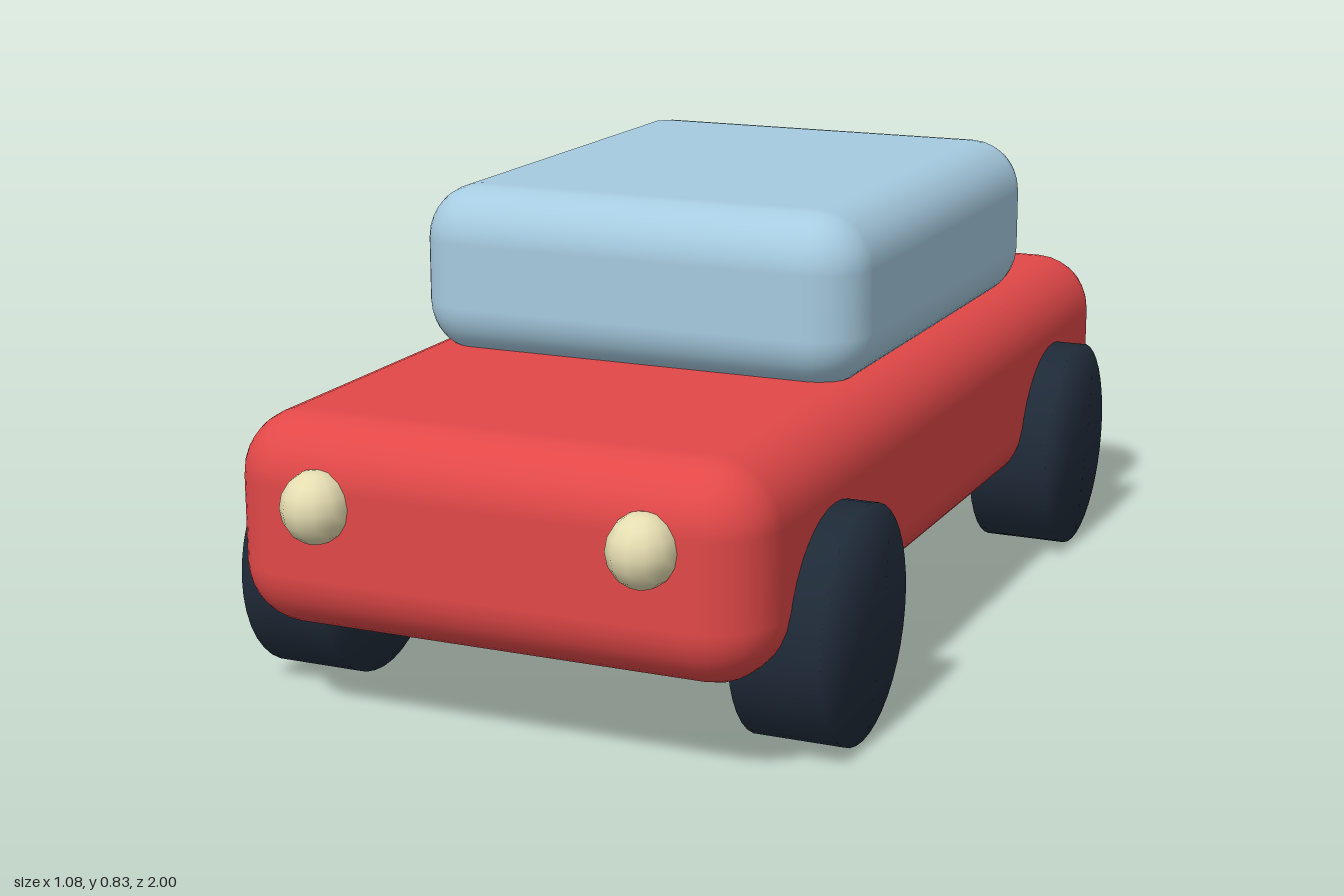
import * as THREE from 'three';
import { RoundedBoxGeometry } from 'three/addons/geometries/RoundedBoxGeometry.js';
import { mergeVertices } from 'three/addons/utils/BufferGeometryUtils.js';

const flat = (name, color) => {
  const material = new THREE.MeshStandardMaterial({ color });
  material.name = name;
  return material;
};

// Shares vertices across edges so shading runs smoothly over them
function smooth(geometry) {
  geometry.deleteAttribute('normal');
  geometry.deleteAttribute('uv');
  const merged = mergeVertices(geometry, 1e-4);
  merged.computeVertexNormals();
  return merged;
}

export function createModel() {
  const car = new THREE.Group();
  car.name = 'car';
  const red = flat('red paint', 0xe24848);
  const blue = flat('pale blue glass', 0xa6cbe0);
  const dark = flat('dark rubber', 0x222e3d);
  const cream = flat('cream lamp', 0xe6deb2);

  const add = (name, geometry, material, x, y, z) => {
    const mesh = new THREE.Mesh(geometry, material);
    mesh.name = name;
    mesh.position.set(x, y, z);
    car.add(mesh);
    return mesh;
  };

  // Rounded lower body and cabin
  add('body', new RoundedBoxGeometry(0.97, 0.375, 1.935, 4, 0.112), red, 0, 0.3525, -0.0325);
  add('cabin', new RoundedBoxGeometry(0.86, 0.315, 1.02, 4, 0.1), blue, 0, 0.6775, -0.14);

  // Wheels and headlights, mirrored left and right
  const wheel = smooth(new THREE.CylinderGeometry(0.205, 0.205, 0.16, 40).rotateZ(Math.PI / 2));
  const lamp = new THREE.SphereGeometry(0.063, 12, 8).scale(0.94, 1, 1);
  for (const [side, s] of [['left', 1], ['right', -1]]) {
    add(side + 'FrontWheel', wheel, dark, s * 0.46, 0.205, 0.59);
    add(side + 'BackWheel', wheel, dark, s * 0.46, 0.205, -0.65);
    add(side + 'Headlight', lamp, cream, s * 0.296, 0.405, 0.937);
  }
  return car;
}
